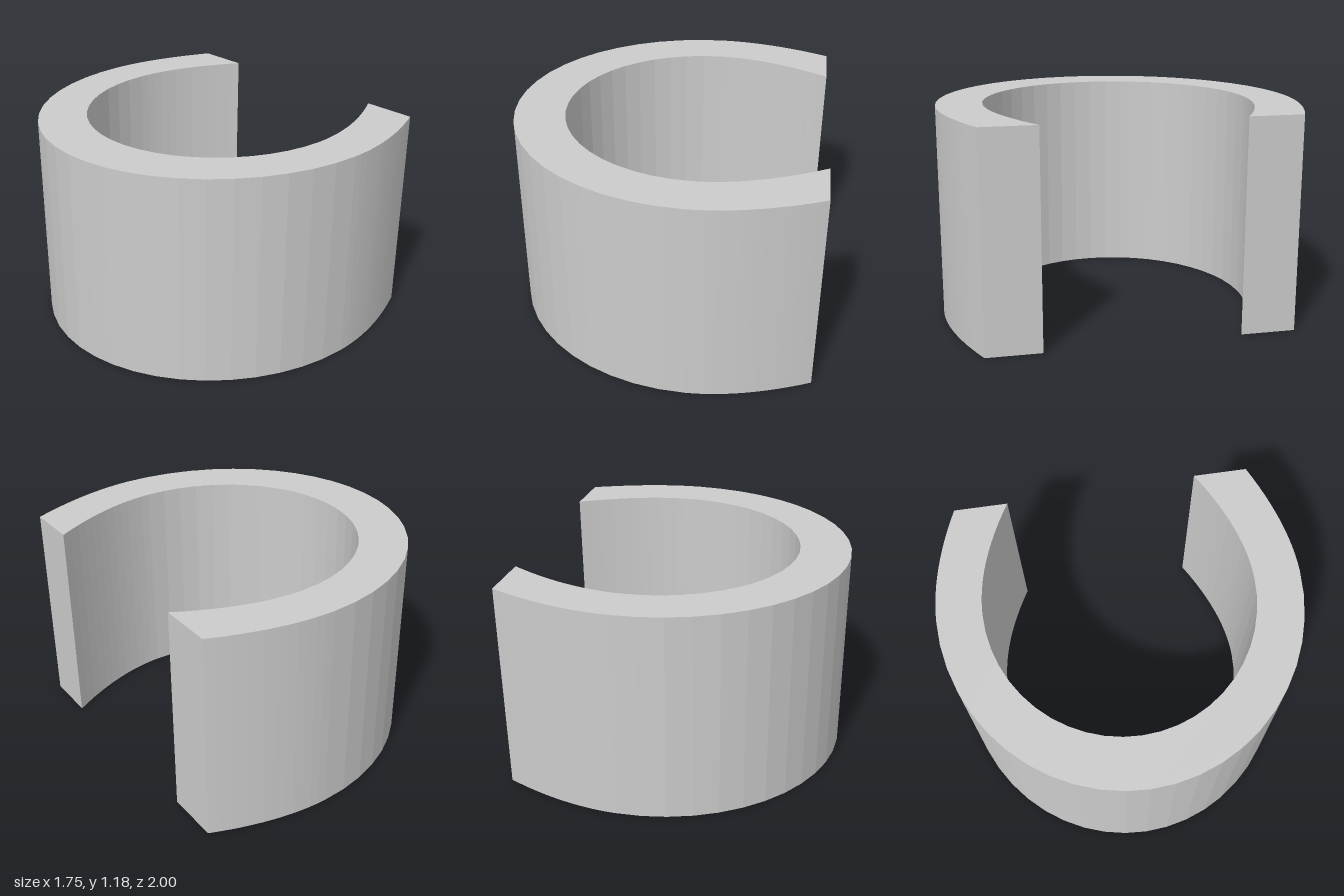
import * as THREE from 'three';

// Open C-shaped band, drawn in plan (shape y = back) and raised upright
export function createModel() {
  const group = new THREE.Group();
  const height = 1.18;

  const plan = new THREE.Shape();
  // outer wall: back arm, round side, front arm
  plan.moveTo(0.855, 0.845);
  plan.quadraticCurveTo(0.5, 1, 0.2, 1);
  plan.absellipse(0.2, 0.0025, 1.08, 0.9975, Math.PI / 2, Math.PI * 1.5, false);
  plan.quadraticCurveTo(0.5, -0.995, 0.875, -0.825);
  // cut end of the front arm, then the inner wall back round
  plan.lineTo(0.875, -0.525);
  plan.quadraticCurveTo(0.5, -0.74, 0.2, -0.74);
  plan.absellipse(0.2, 0.005, 0.795, 0.745, Math.PI * 1.5, Math.PI / 2, true);
  plan.quadraticCurveTo(0.5, 0.75, 0.855, 0.545);
  plan.closePath();

  const geometry = new THREE.ExtrudeGeometry(plan, {
    depth: height, bevelEnabled: false, curveSegments: 12,
  });
  geometry.rotateX(-Math.PI / 2);

  const band = new THREE.Mesh(
    geometry,
    new THREE.MeshStandardMaterial({ color: 0xcccccc, flatShading: true }),
  );
  band.name = 'openBand';
  group.add(band);
  return group;
}
